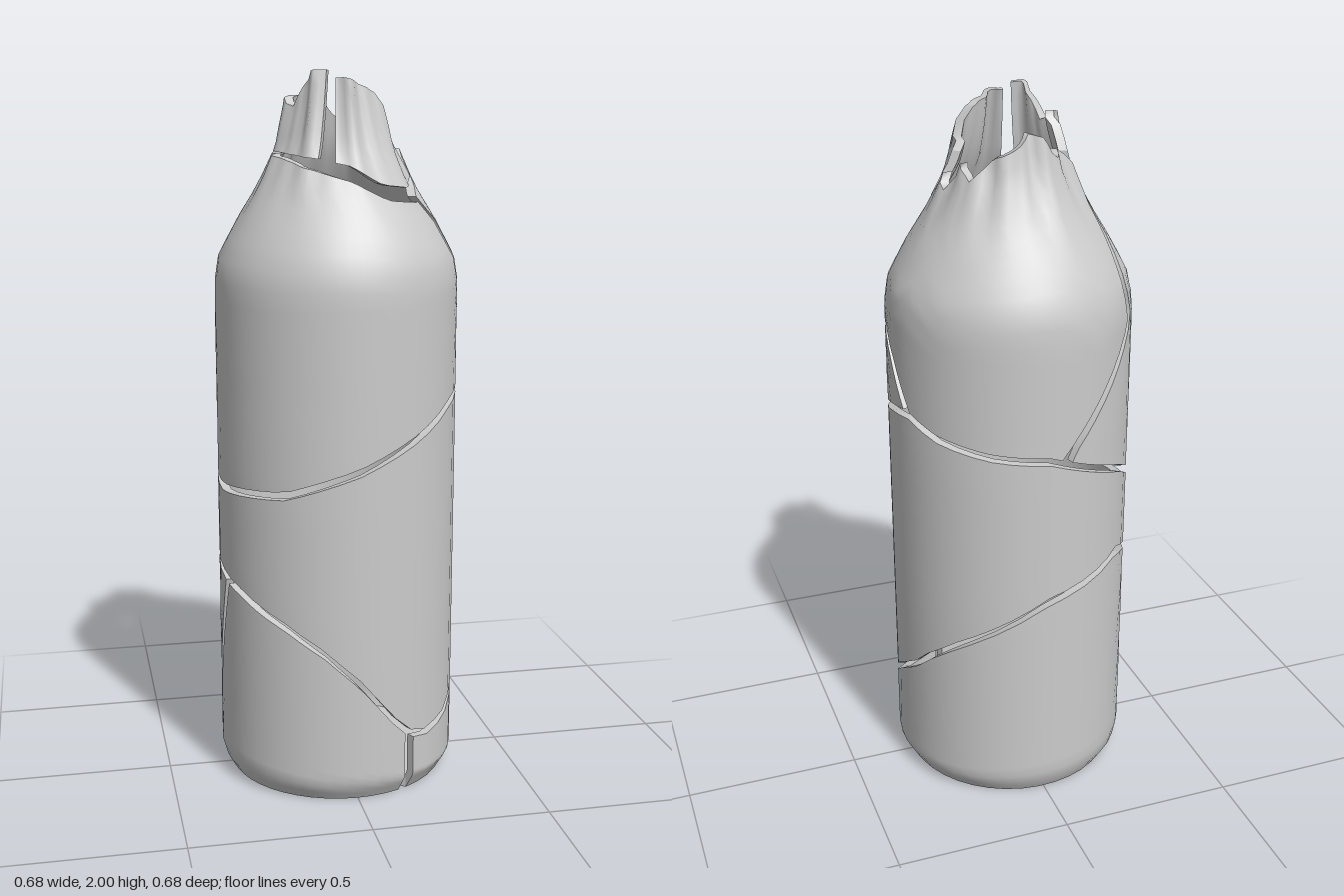
import * as THREE from 'three';
import { mergeGeometries } from 'three/addons/utils/BufferGeometryUtils.js';

// Angles are in degrees: 0 = front (+z), 90 = +x, 180 = back, 270 = -x.
const RAD = Math.PI / 180;
const WALL = 0.025;
const GAP = 0.011;

// Piecewise linear lookup in a list of [key, value] pairs
function lookup(pts, k) {
  if (k <= pts[0][0]) return pts[0][1];
  for (let i = 1; i < pts.length; i++) {
    const [k0, v0] = pts[i - 1], [k1, v1] = pts[i];
    if (k <= k1) return v0 + (v1 - v0) * (k - k0) / (k1 - k0);
  }
  return pts[pts.length - 1][1];
}
const around = (pts) => (a) => lookup(pts, ((a % 360) + 360) % 360);
const along = (pts, shift = 0) => (y) => lookup(pts, y) + shift;

// Bottle silhouette: [height, radius]
const PROFILE = [[0, 0.31], [0.05, 0.34], [1.43, 0.341], [1.5, 0.33], [1.6, 0.277],
  [1.7, 0.215], [1.8, 0.167], [1.9, 0.142], [2, 0.125]];

// Cracks running round the body: [angle, height]
const upperCrack = around([[0, 0.95], [30, 1.03], [54, 1.1], [90, 1.155], [107, 1.17], [126, 1.13],
  [152, 1.1], [180, 1.08], [225, 0.98], [260, 0.88], [280, 0.86], [325, 0.88], [360, 0.95]]);
const lowerCrack = around([[0, 0.35], [17, 0.23], [26, 0.18], [36, 0.165], [54, 0.185], [73, 0.24],
  [90, 0.31], [107, 0.37], [116, 0.42], [135, 0.5], [180, 0.65], [225, 0.72], [270, 0.62],
  [298, 0.575], [324, 0.51], [343, 0.44], [360, 0.35]]);

// Cracks running up the wall: [height, angle]
const sideCrack = [[1.17, 107], [1.3, 93], [1.43, 73], [1.6, 66], [1.68, 52]];
const backCrack = [[1.08, 188], [1.4, 234], [1.5, 231], [1.65, 243], [1.8, 246]];
const baseCrack = [[0, 254], [0.65, 287]];

// Wall point; the neck is crumpled into folds
function wallPoint(a, y, depth) {
  const k = THREE.MathUtils.smoothstep(y, 1.58, 1.9);
  const folds = k * (0.009 * Math.sin(9 * a * RAD + 1) + 0.007 * Math.sin(17 * a * RAD));
  const r = lookup(PROFILE, y) + folds - depth * WALL;
  return [r * Math.sin(a * RAD), y, r * Math.cos(a * RAD)];
}

// Grid surface from a point function; the normal follows u x v unless flipped
function grid(fn, nu, nv, flip) {
  const pos = [], idx = [];
  for (let j = 0; j <= nv; j++)
    for (let i = 0; i <= nu; i++) pos.push(...fn(i / nu, j / nv));
  for (let j = 0; j < nv; j++) {
    for (let i = 0; i < nu; i++) {
      const a = j * (nu + 1) + i, b = a + 1, c = a + nu + 1, d = c + 1;
      if (flip) idx.push(a, c, b, b, c, d);
      else idx.push(a, b, c, b, d, c);
    }
  }
  const g = new THREE.BufferGeometry();
  g.setAttribute('position', new THREE.Float32BufferAttribute(pos, 3));
  g.setIndex(idx);
  g.computeVertexNormals();
  return g;
}

// Thick curved shard between two side edges (by height) and two ends (by angle)
function shard({ start, end, bottom, top, nu, nv, closed = false }) {
  const at = (u, v, w) => {
    let y = 1, a = 0;
    y = (bottom(start(1)) + top(start(1))) / 2;
    for (let n = 0; n < 8; n++) {
      a = start(y) + (end(y) - start(y)) * u;
      const lo = bottom(a), hi = top(a);
      y = lo + (hi - lo) * v;
    }
    return wallPoint(a, y, w);
  };
  const parts = [
    grid((u, v) => at(u, v, 0), nu, nv, false),
    grid((u, v) => at(u, v, 1), nu, nv, true),
    grid((u, w) => at(u, 1, w), nu, 1, false),
    grid((u, w) => at(u, 0, w), nu, 1, true),
  ];
  if (!closed) {
    parts.push(grid((w, v) => at(1, v, w), 1, nv, false));
    parts.push(grid((w, v) => at(0, v, w), 1, nv, true));
  }
  return mergeGeometries(parts);
}

// Floor segment between two angles, cut off by a straight crack
function floorSegment(a, b) {
  const s = new THREE.Shape();
  s.absarc(0, 0, 0.309, (a - 90) * RAD, (b - 90) * RAD, false);
  const g = new THREE.ExtrudeGeometry(s, { depth: 0.03, bevelEnabled: false, curveSegments: 20 });
  return g.rotateX(-Math.PI / 2);
}

export function createModel() {
  const model = new THREE.Group();
  const material = new THREE.MeshStandardMaterial({ color: 0xcccccc, side: THREE.DoubleSide });
  const add = (name, geometry) => {
    const mesh = new THREE.Mesh(geometry, material);
    mesh.name = name;
    model.add(mesh);
  };
  const fixed = (v) => () => v;
  const below = (f) => (a) => f(a) - GAP;
  const above = (f) => (a) => f(a) + GAP;

  // Base: two pieces of wall, each with its part of the floor
  add('baseBackWall', shard({ start: fixed(28.5), end: along(baseCrack, -2), bottom: fixed(0),
    top: below(lowerCrack), nu: 24, nv: 18 }));
  add('baseBackFloor', floorSegment(28.5, 252));
  add('baseFrontWall', shard({ start: along(baseCrack, -358), end: fixed(23.5), bottom: fixed(0),
    top: below(lowerCrack), nu: 16, nv: 18 }));
  add('baseFrontFloor', floorSegment(-104, 23.5));

  // Middle: slanted ring between the two cracks
  add('middleRing', shard({ start: fixed(180), end: fixed(540), bottom: above(lowerCrack),
    top: below(upperCrack), nu: 40, nv: 4, closed: true }));

  // Shoulder: front piece with a clean break, back piece with a torn neck
  add('frontShoulder', shard({ start: along(backCrack, -357.5), end: along(sideCrack, -2.5),
    bottom: above(upperCrack),
    top: around([[0, 1.71], [25, 1.66], [52, 1.65], [180, 1.78], [270, 1.78], [300, 1.765],
      [330, 1.74], [360, 1.71]]), nu: 32, nv: 16 }));
  add('backShoulder', shard({ start: along(sideCrack, 2.5), end: along(backCrack, -2.5),
    bottom: above(upperCrack),
    top: around([[55, 1.66], [70, 1.7], [82, 1.8], [95, 1.75], [108, 1.83], [125, 1.79], [145, 1.85],
      [165, 1.87], [185, 1.91], [198, 1.9], [212, 1.84], [228, 1.86], [246, 1.78]]),
    nu: 32, nv: 18 }));

  // Neck: two upright shards standing on the front shoulder
  const neckFoot = around([[0, 1.75], [25, 1.7], [50, 1.69], [70, 1.72], [240, 1.8], [330, 1.77], [360, 1.75]]);
  add('frontNeckShard', shard({ start: fixed(-12), end: along([[1.7, 70], [1.95, 58]]), bottom: neckFoot,
    top: around([[0, 1.98], [22, 1.96], [40, 1.94], [50, 1.87], [62, 1.85], [70, 1.77],
      [340, 1.98], [360, 1.98]]), nu: 14, nv: 6 }));
  add('sideNeckShard', shard({ start: fixed(-112), end: along([[1.75, -27], [2, -24]]), bottom: neckFoot,
    top: around([[248, 1.84], [262, 1.91], [275, 1.94], [290, 1.9], [303, 1.95], [318, 2], [338, 2]]),
    nu: 14, nv: 6 }));

  return model;
}
